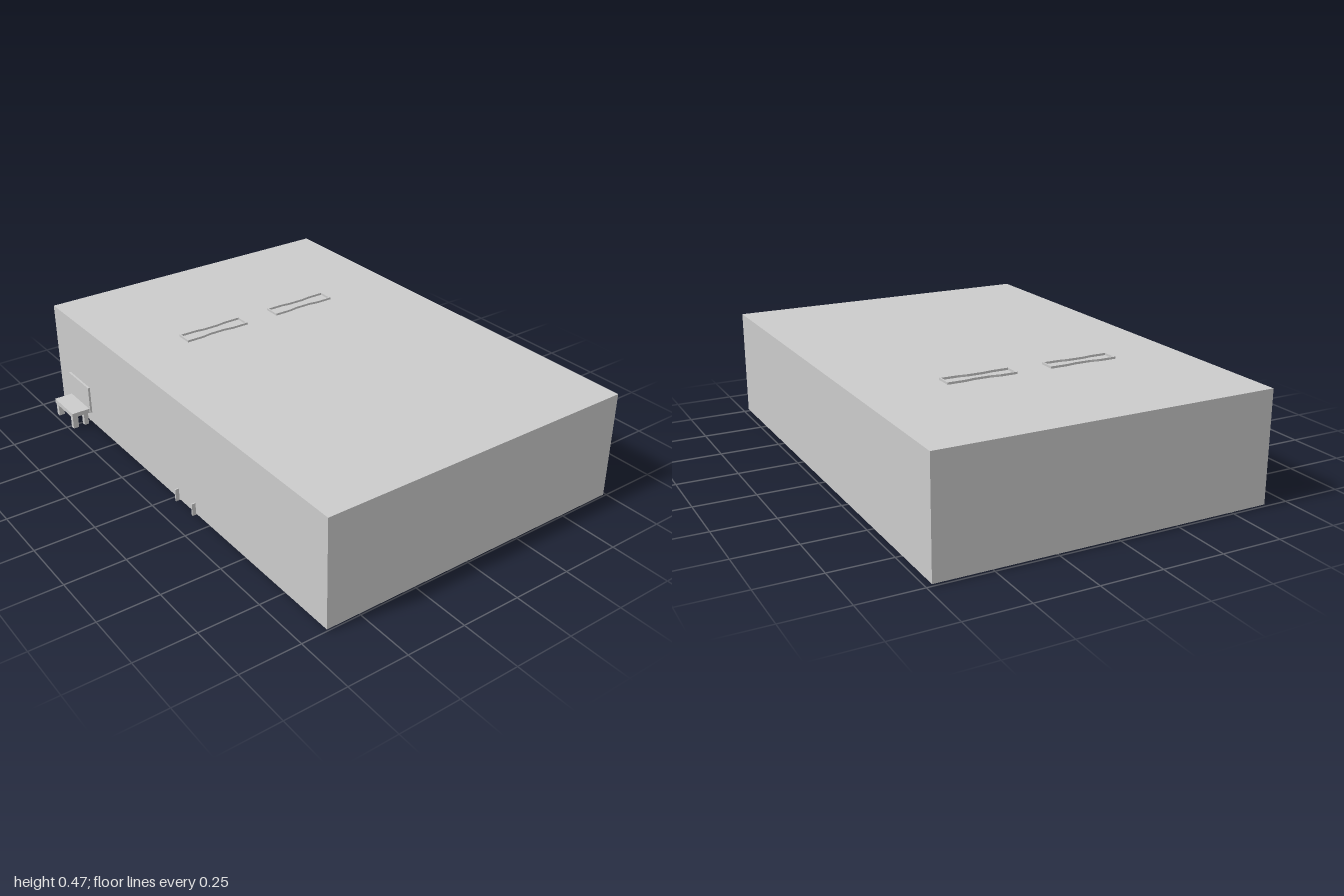
import * as THREE from 'three';

const grey = new THREE.MeshStandardMaterial({ color: 0xcccccc, flatShading: true });

// Box given by its minimum and maximum corners
function block(parent, name, [x0, y0, z0], [x1, y1, z1]) {
  const mesh = new THREE.Mesh(new THREE.BoxGeometry(x1 - x0, y1 - y0, z1 - z0), grey);
  mesh.position.set((x0 + x1) / 2, (y0 + y1) / 2, (z0 + z1) / 2);
  mesh.name = name;
  parent.add(mesh);
  return mesh;
}

// Hollow rim with a slightly pinched waist, lying flat between y0 and y1
function rim(name, cx, cz, hw, hd, waist, wall, y0, y1) {
  const outline = (w, d) => {
    const side = [[-w, -d], [-w * 0.5, -d], [-w * 0.24, -d * waist],
      [w * 0.24, -d * waist], [w * 0.5, -d], [w, -d]];
    const other = side.map(([x, z]) => [-x, -z]);
    return [...side, ...other].map(([x, z]) => new THREE.Vector2(x, z));
  };
  const shape = new THREE.Shape(outline(hw, hd));
  shape.holes.push(new THREE.Path(outline(hw - wall, hd - wall)));
  const geo = new THREE.ExtrudeGeometry(shape, { depth: y1 - y0, bevelEnabled: false });
  geo.rotateX(-Math.PI / 2);
  const mesh = new THREE.Mesh(geo, grey);
  mesh.position.set(cx, y0, cz);
  mesh.name = name;
  return mesh;
}

// U-shaped rail with evenly spaced feet, open towards -x
function rail(name, zBack, zFront, xEnd, radius, feet) {
  const group = new THREE.Group();
  group.name = name;
  const path = new THREE.Path();
  path.moveTo(-0.645, zBack);
  path.lineTo(xEnd - radius, zBack);
  path.absarc(xEnd - radius, zBack + radius, radius, -Math.PI / 2, 0, false);
  path.lineTo(xEnd, zFront - radius);
  path.absarc(xEnd - radius, zFront - radius, radius, 0, Math.PI / 2, false);
  path.lineTo(-0.645, zFront);

  const bar = (label, a, b, width, y0, y1) => {
    const mesh = block(group, label, [0, y0, 0], [a.distanceTo(b), y1, width]);
    mesh.position.x = (a.x + b.x) / 2;
    mesh.position.z = (a.y + b.y) / 2;
    mesh.rotation.y = -Math.atan2(b.y - a.y, b.x - a.x);
  };
  const points = path.getPoints(6);
  for (let i = 1; i < points.length; i++) {
    if (points[i].distanceTo(points[i - 1]) > 1e-4) {
      bar('railStrip', points[i - 1], points[i], 0.004, 0.004, 0.012);
    }
  }
  for (let i = 0; i < feet; i++) {
    const p = path.getPointAt((i + 0.5) / feet);
    const t = path.getTangentAt((i + 0.5) / feet).multiplyScalar(0.012);
    bar('railFoot', p.clone().sub(t), p.clone().add(t), 0.014, 0.001, 0.012);
  }
  return group;
}

export function createModel() {
  const model = new THREE.Group();
  model.name = 'hall';

  // Main volume
  block(model, 'building', [-0.645, 0.008, -1], [0.73, 0.464, 1]);

  // Two fixtures showing through the roof and the floor
  for (const x of [-0.209, 0.233]) {
    model.add(rim('roofRim', x, -0.373, 0.147, 0.035, 0.82, 0.006, 0.46, 0.473));
    model.add(rim('floorRim', x, -0.373, 0.047, 0.035, 1, 0.005, 0.002, 0.012));
  }

  // Concentric rails under the floor
  model.add(rail('outerRail', -0.87, 0.155, 0.635, 0.2, 25));
  model.add(rail('innerRail', -0.74, 0.03, 0.5, 0.1, 21));

  // Rail end posts outside the wall
  for (const z of [0.03, 0.155]) {
    block(model, 'endPost', [-0.661, 0.002, z - 0.003], [-0.64, 0.056, z + 0.003]);
  }

  // Bench against the wall
  const bench = new THREE.Group();
  bench.name = 'bench';
  block(bench, 'seat', [-0.735, 0.055, -0.89], [-0.653, 0.075, -0.718]);
  block(bench, 'backPanel', [-0.654, 0.058, -0.897], [-0.64, 0.18, -0.71]);
  for (const z of [-0.885, -0.743]) {
    block(bench, 'outerLeg', [-0.733, 0, z], [-0.708, 0.056, z + 0.02]);
    block(bench, 'innerLeg', [-0.68, 0, z], [-0.66, 0.056, z + 0.02]);
  }
  model.add(bench);
  return model;
}
